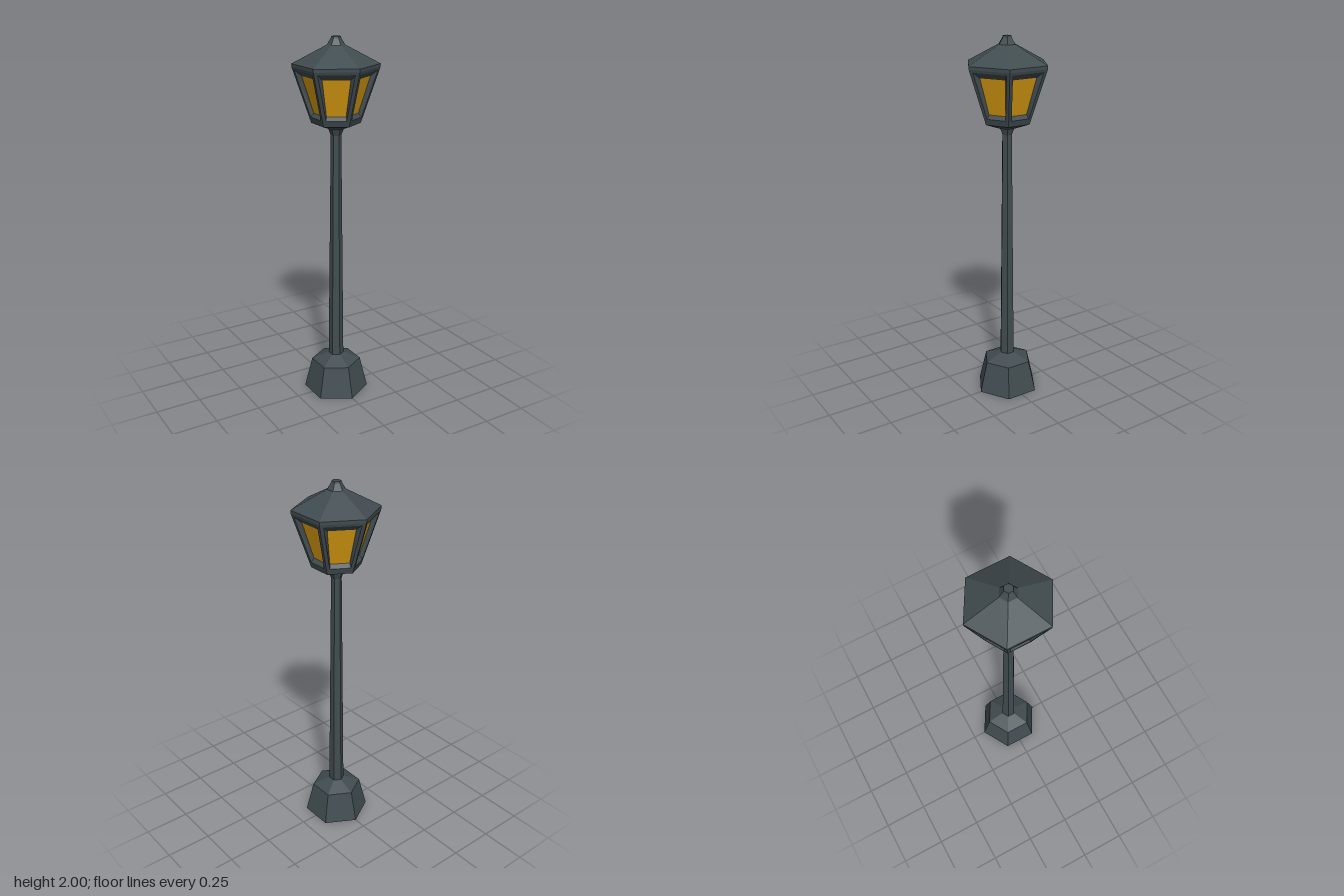
import * as THREE from 'three';

export function createModel() {
  const group = new THREE.Group();
  const iron = new THREE.MeshStandardMaterial({ color: 0x414c50, flatShading: true });
  iron.name = 'dark iron';
  const amber = new THREE.MeshStandardMaterial({ color: 0xdb9d12, flatShading: true });
  amber.name = 'amber glass';

  const add = (name, geometry, material, parent = group) => {
    const mesh = new THREE.Mesh(geometry, material);
    mesh.name = name;
    parent.add(mesh);
    return mesh;
  };

  // Six-sided solid from [radius, height] pairs, with corners on the z axis
  const hex = (name, profile) =>
    add(name, new THREE.LatheGeometry(profile.map(([r, y]) => new THREE.Vector2(r, y)), 6), iron);

  hex('base', [[0, 0], [0.18, 0], [0.137, 0.175], [0.042, 0.215], [0, 0.215]]);
  hex('pole', [[0.042, 0.21], [0.028, 1.49], [0.04, 1.52], [0.04, 1.53]]);
  hex('lanternFloor', [[0, 1.525], [0.045, 1.525], [0.13, 1.555]]);
  hex('roof', [[0.228, 1.845], [0.229, 1.862], [0.047, 1.957]]);
  hex('finial', [[0.047, 1.957], [0.027, 1.99], [0.024, 2], [0, 2]]);

  // Lantern sides: a flat frame with a bevelled recess around each pane
  const apothem = (y) => Math.cos(Math.PI / 6) * (0.13 + (y - 1.555) * 0.098 / 0.29);
  const loop = (y0, half0, y1, half1, inset) => {
    const z0 = apothem(y0) - inset, z1 = apothem(y1) - inset;
    return [[-half0, y0, z0], [half0, y0, z0], [half1, y1, z1], [-half1, y1, z1]];
  };
  const quads = (list) => {
    const geometry = new THREE.BufferGeometry();
    const points = list.flatMap(([a, b, c, d]) => [a, b, c, a, c, d]).flat();
    geometry.setAttribute('position', new THREE.Float32BufferAttribute(points, 3));
    geometry.computeVertexNormals();
    return geometry;
  };
  const band = (outer, inner) => outer.map((p, i) => {
    const j = (i + 1) % 4;
    return [p, outer[j], inner[j], inner[i]];
  });

  const edge = loop(1.555, 0.065, 1.845, 0.114, 0);
  const opening = loop(1.588, 0.053, 1.832, 0.093, 0);
  const pane = loop(1.608, 0.05, 1.802, 0.071, 0.023);
  const frameGeometry = quads([...band(edge, opening), ...band(opening, pane)]);
  const paneGeometry = quads([pane]);

  for (let i = 0; i < 6; i++) {
    const side = new THREE.Group();
    side.name = 'lanternSide';
    side.rotation.y = Math.PI / 6 + i * Math.PI / 3;
    add('windowFrame', frameGeometry, iron, side);
    add('windowPane', paneGeometry, amber, side);
    group.add(side);
  }
  return group;
}
